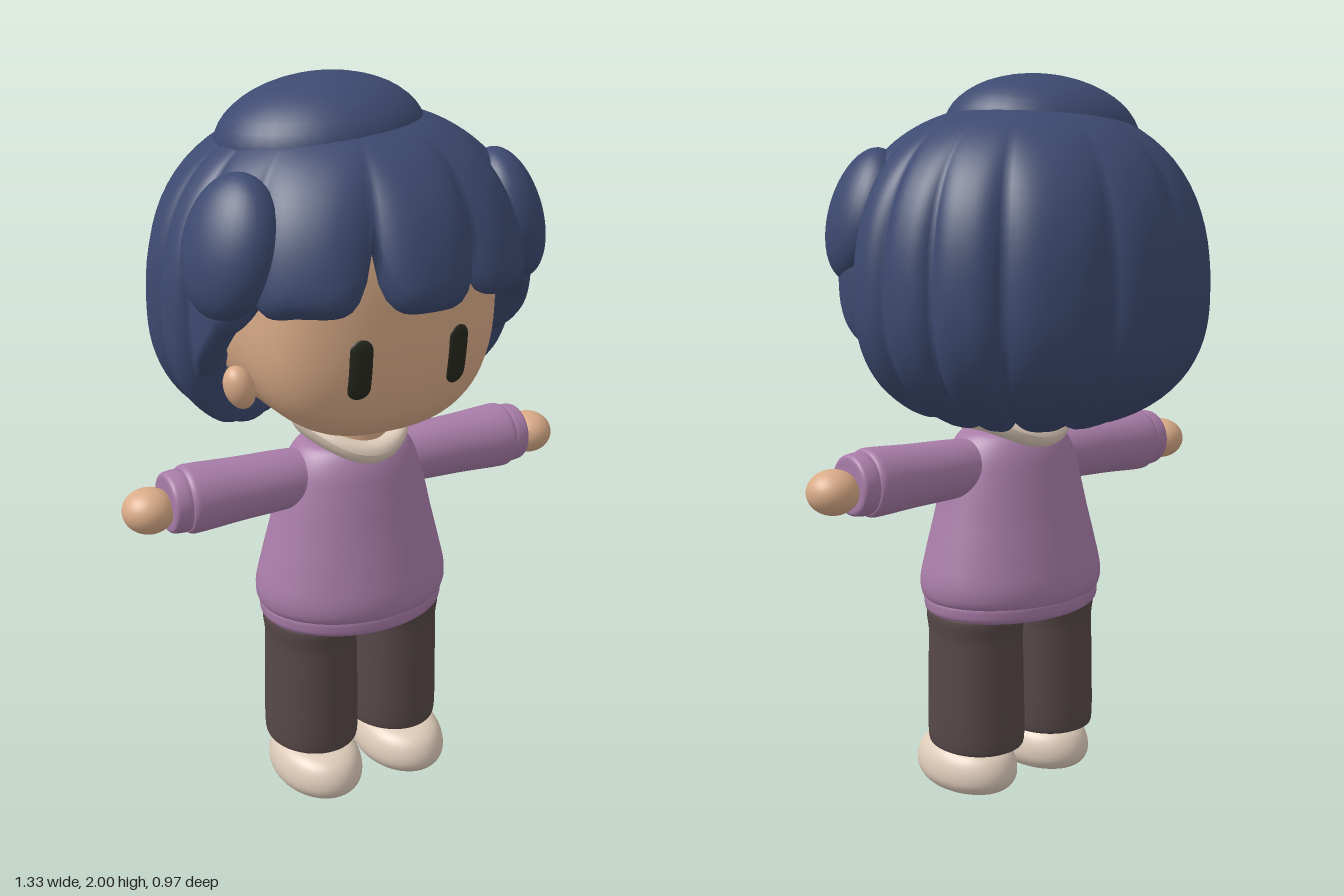
import * as THREE from 'three';

const mat = (name, color) => Object.assign(new THREE.MeshStandardMaterial({ color }), { name });
const rad = THREE.MathUtils.degToRad;

// Hair valleys: [angle from the front, depth of the valley, notch in the hem], degrees
const VALLEYS = [
  [-163, 0.055, 4], [-133, 0.055, 4], [-112, 0.05, 4], [-92, 0.05, 4], [-76, 0.06, 4], [-54, 0.08, 6], [-16, 0.11, 20],
  [20, 0.11, 20], [52, 0.08, 6], [76, 0.06, 4], [94, 0.05, 4], [113, 0.05, 4], [135, 0.055, 4], [168, 0.055, 4],
];
// Hem latitude by angle from the front (0 = crown, 90 = widest), degrees
const HEM = [[0, 76], [40, 76], [55, 79], [62, 84], [72, 102], [80, 120], [86, 137], [95, 145], [115, 150], [180, 153]];

function hemAt(deg) {
  const a = Math.abs(deg > 180 ? deg - 360 : deg);
  const i = Math.max(1, HEM.findIndex((h) => h[0] >= a));
  const [a0, h0] = HEM[i - 1], [a1, h1] = HEM[i];
  return THREE.MathUtils.mapLinear(a, a0, a1, h0, h1);
}

// Thick lobed shell: outer face, rolled hem, inner face
function hairGeometry() {
  const pos = [], index = [], PER = 16, OUT = 36, ROLL = 10, IN = 8;
  const inner = 0.8, lip = 7, full = 2.4, rows = OUT + ROLL + IN, cols = VALLEYS.length * PER;
  VALLEYS.forEach((v, k) => {
    const w = VALLEYS[(k + 1) % VALLEYS.length];
    const end = w[0] > v[0] ? w[0] : w[0] + 360;
    for (let c = 0; c < PER; c++) {
      const u = c / PER, s = Math.abs(2 * u - 1), side = u < 0.5 ? v : w;
      const deg = v[0] + (end - v[0]) * u, phi = rad(deg);
      const hem = hemAt(deg) - side[2] * s ** 5;
      for (let r = 0; r < rows; r++) {
        let lat, scale = 1;
        if (r < OUT) lat = 1 + (hem - 1) * r / (OUT - 1);
        else if (r < OUT + ROLL) {
          const a = Math.PI * (r - OUT + 1) / ROLL;
          lat = hem + lip * Math.sin(a);
          scale = (1 + inner) / 2 + (1 - inner) / 2 * Math.cos(a);
        } else {
          lat = THREE.MathUtils.lerp(hem, 40, (r - OUT - ROLL + 1) / IN);
          scale = inner;
        }
        const grow = THREE.MathUtils.smoothstep(lat, 30, 80);
        const valley = r < OUT + ROLL ? 1 - side[1] * s ** 3 * grow : 1;
        const sin = Math.sin(rad(lat)), cos = Math.cos(rad(lat));
        const f = scale * valley * (sin ** full + Math.abs(cos) ** full) ** (-1 / full);
        pos.push(0.52 * sin * f * Math.sin(phi), 1.42 + (lat < 90 ? 0.5 : 0.38) * cos * f, 0.49 * sin * f * Math.cos(phi));
      }
    }
  });
  for (let j = 0; j < cols; j++) for (let r = 0; r < rows - 1; r++) {
    const a = j * rows + r, b = ((j + 1) % cols) * rows + r;
    index.push(a, a + 1, b, b, a + 1, b + 1);
  }
  const g = new THREE.BufferGeometry();
  g.setAttribute('position', new THREE.Float32BufferAttribute(pos, 3));
  g.setIndex(index);
  g.computeVertexNormals();
  return g;
}

// Moves every vertex of a geometry by a rule
function reshape(g, rule) {
  const p = g.attributes.position, v = new THREE.Vector3();
  for (let i = 0; i < p.count; i++) {
    rule(v.fromBufferAttribute(p, i));
    p.setXYZ(i, v.x, v.y, v.z);
  }
  g.computeVertexNormals();
  return g;
}

// Rounded head with a flattened face
const HEAD = { a: 0.34, b: 0.365, c: 0.33, y: 1.45, z: 0.055, n: 2.6, flat: 4 };
function headGeometry() {
  const { a, b, c, n, flat } = HEAD;
  return reshape(new THREE.SphereGeometry(1, 64, 48), (v) => {
    v.multiplyScalar((Math.abs(v.x / a) ** n + Math.abs(v.y / b) ** n + Math.abs(v.z / c) ** n) ** (-1 / n));
    v.z = Math.sign(v.z) * c * Math.abs(v.z / c) ** (n / flat);
  }).translate(0, HEAD.y, HEAD.z);
}
function faceZ(x, y) {
  const { a, b, c, n, flat } = HEAD;
  return HEAD.z + c * (1 - Math.abs(x / a) ** n - Math.abs((y - HEAD.y) / b) ** n) ** (1 / flat);
}

// Thin eye plate that follows the face
function eyeGeometry(x0) {
  const g = new THREE.CapsuleGeometry(0.03, 0.1, 8, 20, 8).scale(1, 1, 0.28).translate(x0, 1.33, 0);
  return reshape(g, (v) => { v.z += faceZ(v.x, v.y); });
}

// Smooth turned shape, [radius, height] from the bottom up
function turned(points, zScale = 1) {
  const curve = new THREE.SplineCurve(points.map(([r, y]) => new THREE.Vector2(r, y)));
  const pts = curve.getPoints(points.length * 6);
  pts.forEach((q) => { q.x = Math.max(q.x, 0); });
  return new THREE.LatheGeometry(pts, 48).scale(1, 1, zScale);
}

export function createModel() {
  const hair = mat('navyHair', 0x3d4a70), skin = mat('skin', 0xd9ab88), knit = mat('purpleKnit', 0xa87ca8);
  const trouser = mat('darkTrousers', 0x574848), cream = mat('cream', 0xddcbb9), dark = mat('eyeDark', 0x26281e);
  const model = new THREE.Group();
  model.name = 'figure';
  const add = (name, geometry, material, x = 0, y = 0, z = 0) => {
    const m = new THREE.Mesh(geometry, material);
    m.name = name;
    m.position.set(x, y, z);
    model.add(m);
    return m;
  };
  const ball = (rx, ry, rz) => new THREE.SphereGeometry(1, 36, 24).scale(rx, ry, rz);

  // Head and hair
  add('head', headGeometry(), skin);
  add('hair', hairGeometry(), hair);
  add('hairCrown', ball(0.28, 0.16, 0.25), hair, -0.06, 1.838, 0.005).rotation.z = 0.1;
  add('neck', new THREE.CylinderGeometry(0.1, 0.11, 0.16, 32), skin, 0, 1.06, 0.06);

  // Sweater
  add('sweater', turned([[0, 0.55], [0.2, 0.55], [0.265, 0.56], [0.281, 0.61], [0.262, 0.7], [0.236, 0.8],
    [0.212, 0.9], [0.188, 0.98], [0.15, 1.03], [0.09, 1.04]], 0.79), knit, 0, 0, 0.068);
  add('sweaterHem', turned([[0, 0.522], [0.22, 0.52], [0.26, 0.524], [0.27, 0.545], [0.262, 0.572], [0.2, 0.58]], 0.79),
    knit, 0, 0, 0.068);
  // Collar, raised at the shoulders
  const ring = new THREE.TorusGeometry(0.13, 0.031, 16, 48).rotateX(Math.PI / 2);
  add('collar', reshape(ring, (v) => { v.y += 0.045 * (v.x / 0.13) ** 2; v.z *= 1.05; }), cream, 0, 1.028, 0.06);

  // Waist of the trousers
  add('trouserWaist', turned([[0, 0.495], [0.1, 0.495], [0.2, 0.51], [0.235, 0.55], [0, 0.56]], 0.58), trouser, 0, 0, 0.068);

  for (const s of [1, -1]) {
    add('eye', eyeGeometry(s * 0.14), dark);
    add('ear', ball(0.04, 0.06, 0.045), skin, s * 0.343, 1.235, 0.095).rotation.z = -s * 0.3;
    add('sideBang', ball(0.09, 0.18, 0.14), hair, s * 0.4, 1.63, 0.19).rotation.set(0, -s * 0.35, s * 0.3);

    // Arm, with profiles running outward from the body
    const along = (name, points, material) => {
      add(name, turned(points), material, 0, 0.94, 0.065).rotation.z = -s * Math.PI / 2;
    };
    along('sleeve', [[0.07, 0.08], [0.081, 0.2], [0.086, 0.35], [0.092, 0.46], [0.09, 0.495], [0.07, 0.503], [0, 0.505]], knit);
    along('cuff', [[0.06, 0.49], [0.082, 0.5], [0.083, 0.53], [0.076, 0.547], [0.05, 0.549], [0, 0.549]], knit);
    add('hand', ball(0.07, 0.06, 0.07), skin, s * 0.595, 0.93, 0.065);

    // Leg and shoe
    add('trouserLeg', turned([[0, 0.122], [0.09, 0.122], [0.12, 0.13], [0.131, 0.155], [0.13, 0.3], [0.127, 0.45],
      [0.122, 0.54], [0, 0.545]], 1.13), trouser, s * 0.131, 0, 0.07);
    add('shoe', turned([[0, 0.002], [0.08, 0.002], [0.105, 0.006], [0.123, 0.035], [0.122, 0.075], [0.105, 0.11],
      [0.07, 0.127], [0, 0.13]], 1.4), cream, s * 0.138, 0, 0.107);
  }
  return model;
}
